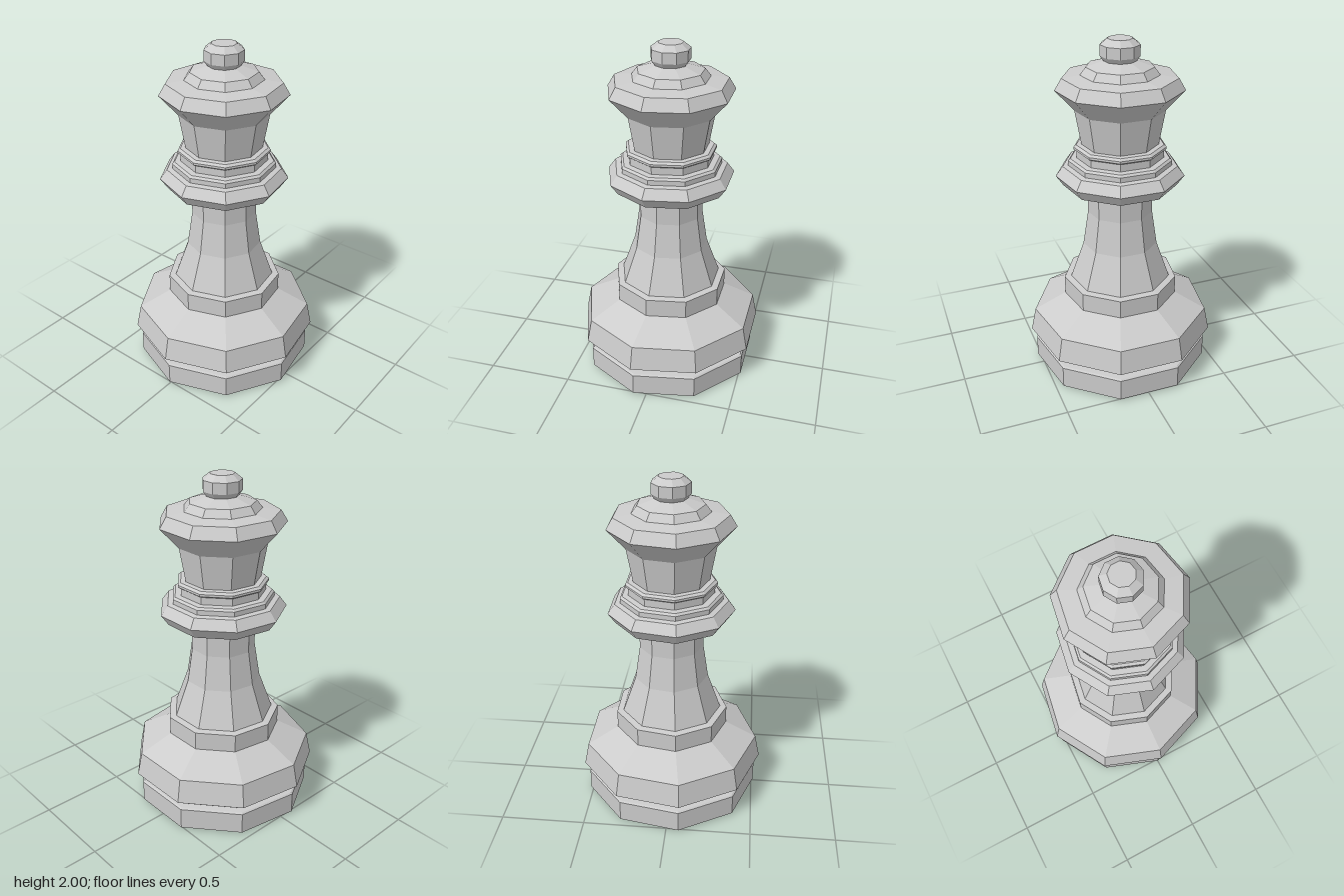
import * as THREE from 'three';

const SIDES = 9;

// Each profile is a list of [radius, height]; each part starts where the one below ends.
const PARTS = {
  plinth: [[0, 0], [0.51, 0], [0.528, 0.01], [0.528, 0.14], [0.518, 0.148], [0.478, 0.15]],
  base: [[0.478, 0.15], [0.557, 0.21], [0.528, 0.35], [0.34, 0.45]],
  baseRing: [[0.34, 0.45], [0.34, 0.56], [0.3, 0.565]],
  stem: [[0.3, 0.565], [0.221, 0.785], [0.19, 0.99], [0.19, 1.165]],
  collar: [[0.19, 1.165], [0.328, 1.168], [0.371, 1.23], [0.33, 1.285], [0.298, 1.29]],
  collarStep: [[0.298, 1.29], [0.298, 1.318], [0.285, 1.33], [0.25, 1.333], [0.25, 1.375]],
  neckRing: [[0.25, 1.375], [0.265, 1.385], [0.265, 1.398], [0.25, 1.41], [0.22, 1.412]],
  head: [[0.22, 1.412], [0.255, 1.61]],
  crown: [[0.255, 1.61], [0.361, 1.73], [0.322, 1.795], [0.221, 1.808]],
  dome: [[0.221, 1.808], [0.189, 1.85], [0.092, 1.88]],
  finial: [[0.092, 1.88], [0.111, 1.907], [0.111, 1.968], [0.07, 2], [0, 2]],
};

export function createModel() {
  const group = new THREE.Group();
  group.name = 'chessQueen';
  const material = new THREE.MeshStandardMaterial({ color: 0xcccccc, flatShading: true });

  // Nine-sided turned sections, with a corner facing front
  for (const [name, profile] of Object.entries(PARTS)) {
    const points = profile.map(([r, y]) => new THREE.Vector2(r, y));
    const mesh = new THREE.Mesh(new THREE.LatheGeometry(points, SIDES), material);
    mesh.name = name;
    mesh.position.z = -0.017; // centres the odd-sided outline in depth
    group.add(mesh);
  }
  return group;
}
